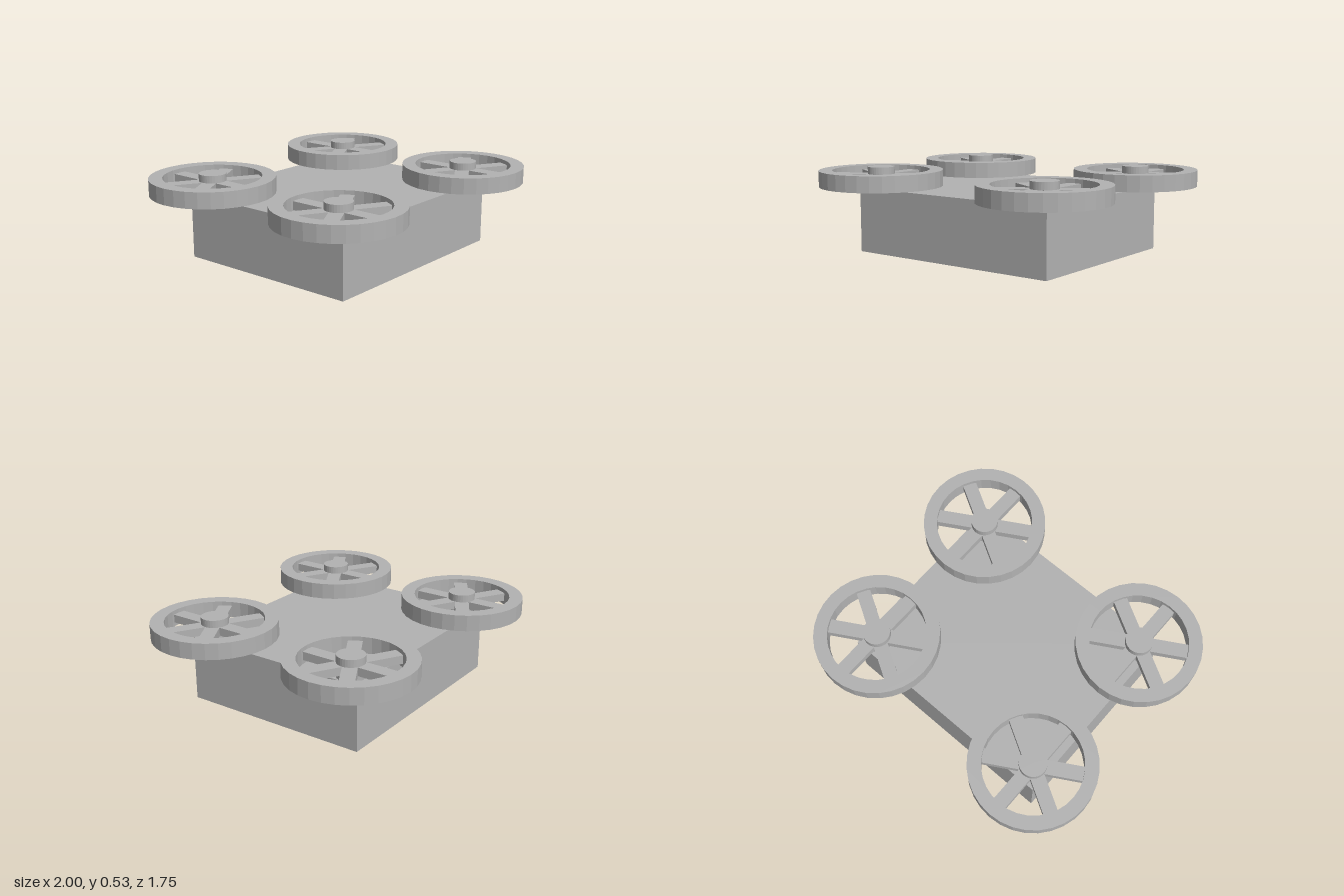
import * as THREE from 'three';

const RIM_R = 0.383, RIM_INNER = 0.3, HUB_R = 0.083;
const WHEEL_X = 0.617, WHEEL_Z = 0.494, WHEEL_Y = 0.46;

export function createModel() {
  const model = new THREE.Group();
  model.name = 'wheeledBlock';
  const grey = new THREE.MeshStandardMaterial({ color: 0xb2b2b2, flatShading: true });
  grey.name = 'grey';

  const add = (parent, name, geometry, x = 0, y = 0, z = 0) => {
    const mesh = new THREE.Mesh(geometry, grey);
    mesh.name = name;
    mesh.position.set(x, y, z);
    parent.add(mesh);
    return mesh;
  };

  // Solid rectangular body
  add(model, 'body', new THREE.BoxGeometry(1.404, 0.4, 1.188), 0, 0.2, 0);

  // Flat ring for the rim, laid horizontal and centred on its thickness
  const ring = new THREE.Shape().absarc(0, 0, RIM_R, 0, Math.PI * 2, false);
  ring.holes.push(new THREE.Path().absarc(0, 0, RIM_INNER, 0, Math.PI * 2, true));
  const rimGeometry = new THREE.ExtrudeGeometry(ring, { depth: 0.1, bevelEnabled: false, curveSegments: 16 });
  rimGeometry.translate(0, 0, -0.05).rotateX(-Math.PI / 2);

  // Hub, and a spoke reaching from the hub into the rim
  const hubGeometry = new THREE.CylinderGeometry(HUB_R, HUB_R, 0.135, 32);
  const spokeGeometry = new THREE.BoxGeometry(0.086, 0.05, 0.27);
  spokeGeometry.translate(0, 0, 0.175);

  // Four horizontal wheels over the corners
  for (const sx of [-1, 1]) {
    for (const sz of [-1, 1]) {
      const wheel = new THREE.Group();
      wheel.name = `${sz > 0 ? 'front' : 'back'}${sx > 0 ? 'Left' : 'Right'}Wheel`;
      wheel.position.set(sx * WHEEL_X, WHEEL_Y, sz * WHEEL_Z);
      add(wheel, 'rim', rimGeometry);
      add(wheel, 'hub', hubGeometry, 0, 0.0025, 0);
      for (let i = 0; i < 6; i++) {
        add(wheel, 'spoke', spokeGeometry).rotation.y = (i * Math.PI) / 3;
      }
      model.add(wheel);
    }
  }
  return model;
}
